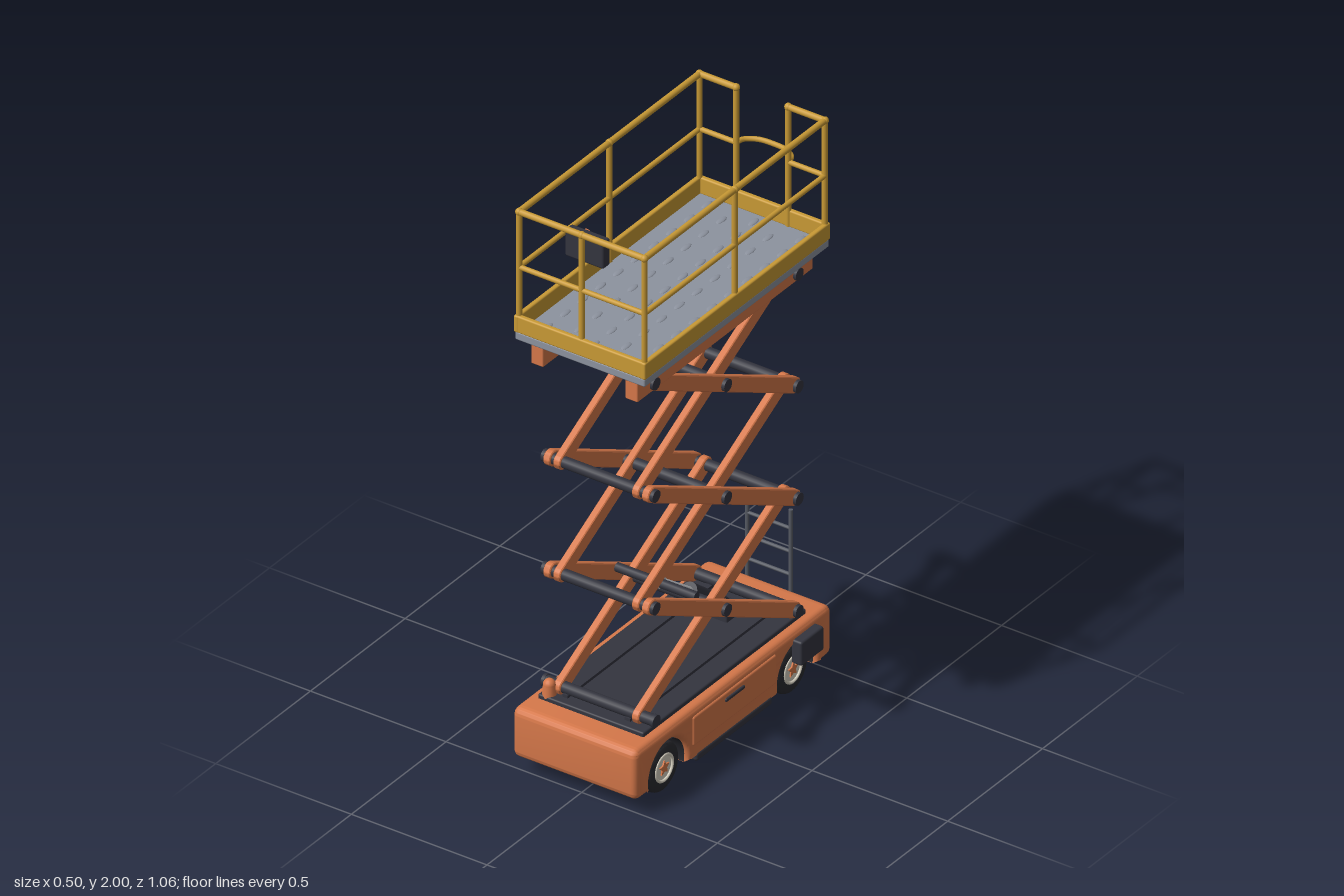
import * as THREE from 'three';
import { toCreasedNormals } from 'three/addons/utils/BufferGeometryUtils.js';
import { RoundedBoxGeometry } from 'three/addons/geometries/RoundedBoxGeometry.js';

const mat = (name, color, side = THREE.FrontSide) => {
  const m = new THREE.MeshStandardMaterial({ color, side });
  m.name = name;
  return m;
};

export function createModel() {
  const orange = mat('orange paint', 0xd6784a);
  const yellow = mat('yellow paint', 0xc99a35);
  const dark = mat('dark steel', 0x34353f);
  const liner = mat('wheel well black', 0x24252b, THREE.DoubleSide);
  const rubber = mat('rubber', 0x2a2b30);
  const deckGrey = mat('deck grey', 0x8d939f);
  const cream = mat('cream hub', 0xd8d2c2);
  const chrome = mat('chrome', 0xc9cbcf);
  const ladderGrey = mat('ladder grey', 0x565a63);

  const model = new THREE.Group();
  model.name = 'scissorLift';
  const lift = new THREE.Group();
  lift.name = 'lift';
  lift.position.set(-0.008, 0, 0.012);
  model.add(lift);

  const group = (name) => {
    const g = new THREE.Group();
    g.name = name;
    lift.add(g);
    return g;
  };
  const add = (parent, name, geo, material, x = 0, y = 0, z = 0) => {
    const m = new THREE.Mesh(geo, material);
    m.name = name;
    m.position.set(x, y, z);
    parent.add(m);
    return m;
  };
  const box = (parent, name, material, w, h, d, x, y, z, r = 0) =>
    add(parent, name, r ? new RoundedBoxGeometry(w, h, d, 3, r) : new THREE.BoxGeometry(w, h, d), material, x, y, z);
  // Round bar between two points
  const bar = (parent, name, material, a, b, r, seg = 14) => {
    const p = new THREE.Vector3(...a), q = new THREE.Vector3(...b);
    const m = add(parent, name, new THREE.CylinderGeometry(r, r, p.distanceTo(q), seg), material);
    m.position.copy(p).add(q).multiplyScalar(0.5);
    m.quaternion.setFromUnitVectors(new THREE.Vector3(0, 1, 0), q.sub(p).normalize());
    return m;
  };
  // Side profile (shape x runs towards the back) extruded across the machine
  const across = (shape, width, bevel, segments) => {
    const geo = new THREE.ExtrudeGeometry(shape, {
      depth: width - 2 * bevel, bevelThickness: bevel, bevelSize: bevel, bevelOffset: -bevel,
      bevelSegments: segments, curveSegments: 20,
    });
    geo.translate(0, 0, bevel - width / 2).rotateY(Math.PI / 2);
    return toCreasedNormals(geo, 0.6);
  };

  // Chassis with four wheel arches
  const chassis = group('chassis');
  const wheelZ = 0.34, axleY = 0.085, archR = 0.1;
  const y0 = 0.058, y1 = 0.235, half = 0.518, c = 0.03;
  const cut = Math.asin((axleY - y0) / archR), dz = archR * Math.cos(cut);
  const body = new THREE.Shape();
  body.moveTo(-half + c, y0);
  for (const s of [-wheelZ, wheelZ]) {
    body.lineTo(s - dz, y0);
    body.absarc(s, axleY, archR, Math.PI + cut, -cut, true);
  }
  body.lineTo(half - c, y0);
  body.quadraticCurveTo(half, y0, half, y0 + c);
  body.lineTo(half, y1 - c);
  body.quadraticCurveTo(half, y1, half - c, y1);
  body.lineTo(-half + c, y1);
  body.quadraticCurveTo(-half, y1, -half, y1 - c);
  body.lineTo(-half, y0 + c);
  body.quadraticCurveTo(-half, y0, -half + c, y0);
  add(chassis, 'body', across(body, 0.457, 0.02, 4), orange);
  box(chassis, 'topPlate', dark, 0.39, 0.02, 0.86, 0, 0.24, 0, 0.006);
  for (const s of [-1, 1]) {
    box(chassis, 'sidePanel', orange, 0.02, 0.105, 0.44, s * 0.224, 0.158, 0, 0.008);
    box(chassis, 'panelHandle', dark, 0.012, 0.012, 0.1, s * 0.234, 0.187, 0.005, 0.004);
    box(chassis, 'lowerGuard', dark, 0.04, 0.03, 0.4, s * 0.212, 0.055, 0, 0.01);
    box(chassis, 'guideRail', dark, 0.02, 0.012, 0.8, s * 0.115, 0.254, 0);
    const well = new THREE.CylinderGeometry(0.097, 0.097, 0.43, 24, 1, true, Math.PI / 2 - 0.25, Math.PI + 0.5);
    well.rotateZ(Math.PI / 2);
    well.rotateX(Math.PI / 2);
    // Keep the open part of the lining facing the ground
    well.computeBoundingBox();
    if (well.boundingBox.min.y < -0.06) well.rotateX(Math.PI);
    if (well.boundingBox.max.z - well.boundingBox.min.z < 0.18) well.rotateX(Math.PI / 2);
    add(chassis, 'wheelWell', well, liner, 0, axleY, s * wheelZ);
    bar(chassis, 'axle', dark, [-0.17, axleY, s * wheelZ], [0.17, axleY, s * wheelZ], 0.02);
  }
  box(chassis, 'controlBox', dark, 0.04, 0.085, 0.12, 0.24, 0.168, -0.372, 0.008);
  add(chassis, 'beaconBase', new THREE.CylinderGeometry(0.02, 0.023, 0.04, 16), orange, -0.167, 0.263, 0.408);
  add(chassis, 'beaconDome', new THREE.SphereGeometry(0.02, 16, 10), orange, -0.167, 0.283, 0.408);

  // Wheels
  const tireProfile = [[0.045, -0.026], [0.072, -0.026], [0.08, -0.021], [0.084, -0.012], [0.084, 0.012],
    [0.08, 0.021], [0.072, 0.026], [0.045, 0.026], [0.045, -0.026]].map(([x, y]) => new THREE.Vector2(x, y));
  const tireGeo = toCreasedNormals(new THREE.LatheGeometry(tireProfile, 32), 0.6).rotateZ(-Math.PI / 2);
  const star = new THREE.Shape();
  for (let i = 0; i < 10; i++) {
    const a = (i / 10) * Math.PI * 2 + Math.PI / 2, r = i % 2 ? 0.013 : 0.026;
    star[i ? 'lineTo' : 'moveTo'](r * Math.cos(a), r * Math.sin(a));
  }
  const starGeo = new THREE.ExtrudeGeometry(star, { depth: 0.006, bevelEnabled: false }).rotateY(Math.PI / 2);
  for (const sx of [-1, 1]) for (const sz of [-1, 1]) {
    const wheel = group('wheel');
    wheel.position.set(sx * 0.183, axleY, sz * wheelZ);
    if (sx < 0) wheel.rotation.y = Math.PI;
    add(wheel, 'tire', tireGeo, rubber);
    add(wheel, 'hub', new THREE.CylinderGeometry(0.046, 0.046, 0.046, 28).rotateZ(Math.PI / 2), cream);
    add(wheel, 'hubRim', new THREE.TorusGeometry(0.045, 0.005, 8, 28).rotateY(Math.PI / 2), cream, 0.025);
    add(wheel, 'hubStar', starGeo, orange, 0.022);
  }

  // Rear ladder
  const ladder = group('ladder');
  for (const s of [-1, 1]) bar(ladder, 'ladderRail', ladderGrey, [s * 0.08, 0.06, -0.512], [s * 0.08, 0.52, -0.512], 0.007, 10);
  for (const y of [0.205, 0.288, 0.37, 0.453])
    bar(ladder, 'rung', ladderGrey, [-0.08, y, -0.512], [0.08, y, -0.512], 0.006, 10);

  // Scissor stack: three crossed levels
  const scissor = group('scissorStack');
  const reach = 0.378, rise = 0.402, base = 0.27;
  const len = Math.hypot(reach * 2, rise), tilt = Math.atan2(rise, reach * 2);
  const arm = new THREE.Shape();
  arm.absarc(len / 2, 0, 0.026, -Math.PI / 2, Math.PI / 2, false);
  arm.absarc(-len / 2, 0, 0.026, Math.PI / 2, Math.PI * 1.5, false);
  const armGeo = across(arm, 0.025, 0.003, 1);
  const crossBar = (y, z) => {
    bar(scissor, 'crossBar', dark, [-0.2, y, z], [0.2, y, z], 0.019, 18);
    for (const s of [-1, 1]) bar(scissor, 'pivotCap', dark, [s * 0.196, y, z], [s * 0.207, y, z], 0.021, 18);
  };
  for (let i = 0; i < 3; i++) {
    const y = base + rise * (i + 0.5);
    for (const s of [-1, 1]) {
      add(scissor, 'innerArm', armGeo, orange, s * 0.145, y, 0).rotation.x = tilt;
      add(scissor, 'outerArm', armGeo, orange, s * 0.182, y, 0).rotation.x = -tilt;
    }
    crossBar(y, 0);
  }
  for (let i = 0; i < 4; i++) for (const s of [-1, 1]) crossBar(base + rise * i, s * reach);

  // Hydraulic cylinder
  const ram = group('hydraulicRam');
  box(ram, 'ramBracket', dark, 0.09, 0.035, 0.09, 0, 0.262, -0.27, 0.006);
  bar(ram, 'ramBarrel', dark, [0, 0.275, -0.27], [0, 0.42, -0.09], 0.028, 20);
  bar(ram, 'ramRod', chrome, [0, 0.41, -0.1], [0, 0.54, 0.075], 0.015, 16);
  bar(ram, 'ramEye', chrome, [-0.018, 0.545, 0.08], [0.018, 0.545, 0.08], 0.022, 16);
  bar(ram, 'ramCrossBar', dark, [-0.147, 0.54, 0.08], [0.147, 0.54, 0.08], 0.015, 14);

  // Platform frame and deck
  const platform = group('platform');
  for (const s of [-1, 1]) {
    box(platform, 'frameRail', orange, 0.046, 0.082, 0.928, s * 0.174, 1.49, 0, 0.005);
    box(platform, 'sideToeBoard', yellow, 0.018, 0.06, 0.98, s * 0.234, 1.588, 0, 0.006);
    box(platform, 'endToeBoard', yellow, 0.486, 0.06, 0.018, 0, 1.588, s * 0.48, 0.006);
  }
  box(platform, 'underPlate', dark, 0.45, 0.01, 0.94, 0, 1.53, 0);
  box(platform, 'deck', deckGrey, 0.48, 0.03, 0.975, 0, 1.546, 0, 0.006);
  // Raised tread marks in staggered columns
  const treadGeo = new THREE.SphereGeometry(1, 10, 6, 0, Math.PI * 2, 0, Math.PI / 2).scale(0.011, 0.005, 0.026);
  for (let col = 0; col < 5; col++) for (let row = 0; row < 10; row++) {
    const z = -0.43 + row * 0.0935 + (col % 2 ? 0.047 : 0);
    if (z < 0.45) add(platform, 'tread', treadGeo, deckGrey, (col - 2) * 0.086, 1.5605, z);
  }

  // Guard rails
  const rails = group('guardRails');
  const rx = 0.231, rz = 0.476, top = 1.985, mid = 1.788, gate = 0.096;
  const post = (x, z) => {
    bar(rails, 'post', yellow, [x, 1.56, z], [x, top, z], 0.0095);
    add(rails, 'postCap', new THREE.SphereGeometry(0.0125, 14, 10), yellow, x, top, z);
  };
  for (const s of [-1, 1]) {
    for (const z of [-rz, 0, rz]) post(s * rx, z);
    post(s * gate, -rz);
    for (const [y, r] of [[top, 0.0105], [mid, 0.0085]]) {
      bar(rails, 'sideRail', yellow, [s * rx, y, -rz], [s * rx, y, rz], r);
      bar(rails, 'rearRail', yellow, [s * gate, y, -rz], [s * rx, y, -rz], r);
    }
  }
  post(0, rz);
  bar(rails, 'frontTopRail', yellow, [-rx, top, rz], [rx, top, rz], 0.0105);
  bar(rails, 'frontMidRail', yellow, [-rx, mid, rz], [rx, mid, rz], 0.0085);
  const gatePath = new THREE.CatmullRomCurve3([[-gate, -rz], [-0.088, -0.505], [-0.05, -0.529], [0, -0.534],
    [0.05, -0.529], [0.088, -0.505], [gate, -rz]].map(([x, z]) => new THREE.Vector3(x, mid, z)));
  add(rails, 'gateBar', new THREE.TubeGeometry(gatePath, 30, 0.0085, 10), yellow);

  // Operator console on the front rail
  const consoleBox = group('operatorConsole');
  box(consoleBox, 'consoleCase', dark, 0.143, 0.097, 0.038, 0, 1.928, 0.446, 0.008);
  bar(consoleBox, 'stopStem', orange, [-0.033, 1.94, 0.43], [-0.033, 1.94, 0.41], 0.009);
  bar(consoleBox, 'stopButton', orange, [-0.033, 1.94, 0.413], [-0.033, 1.94, 0.4], 0.016, 18);
  add(consoleBox, 'controlKnob', new THREE.SphereGeometry(0.013, 14, 10), orange, 0.03, 1.922, 0.418);

  return model;
}
